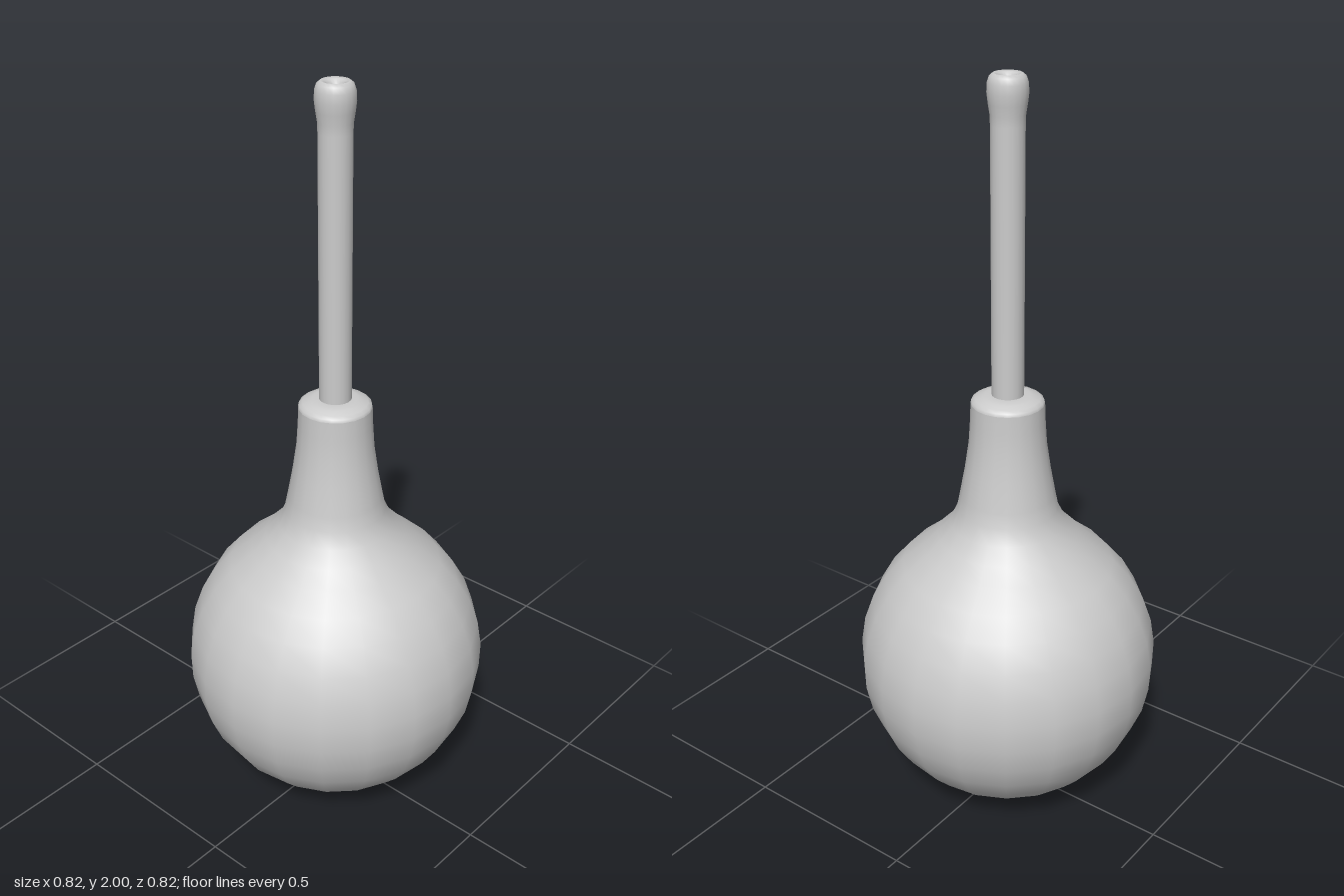
import * as THREE from 'three';

const material = new THREE.MeshStandardMaterial({ color: 0xcccccc, side: THREE.DoubleSide });

// Smooth surface of revolution from [radius, height] pairs, bottom to top
function lathe(name, points, sides) {
  const profile = points.map(([r, y]) => new THREE.Vector2(r, y));
  const mesh = new THREE.Mesh(new THREE.LatheGeometry(profile, sides), material);
  mesh.name = name;
  return mesh;
}

export function createModel() {
  const group = new THREE.Group();
  group.name = 'bulbSyringe';

  // Squeeze bulb: a sphere that flows into the tapering neck
  const R = 0.41, bulb = [];
  for (let i = 0; i <= 14; i++) {
    const a = (i / 14) * THREE.MathUtils.degToRad(146);
    bulb.push([R * Math.sin(a), R - R * Math.cos(a)]);
  }
  bulb.push([0.19, 0.79], [0.155, 0.827], [0.135, 0.87], [0.127, 0.91], [0.113, 0.985],
    [0.102, 1.06], [0.098, 1.12], [0.096, 1.17]);
  group.add(lathe('bulb', bulb, 20));

  // Rounded collar closing the neck around the tube
  group.add(lathe('collar', [
    [0.096, 1.17], [0.094, 1.178], [0.085, 1.184], [0.07, 1.19], [0.058, 1.194], [0.04, 1.194],
  ], 20));

  // Nozzle tube with a swollen tip and a dimpled outlet
  group.add(lathe('nozzle', [
    [0.042, 1.15], [0.042, 1.88], [0.043, 1.905], [0.047, 1.93], [0.05, 1.955], [0.049, 1.978],
    [0.044, 1.993], [0.035, 2], [0.026, 1.997], [0.018, 1.988], [0.014, 1.97], [0.013, 1.94], [0, 1.94],
  ], 20));

  return group;
}
